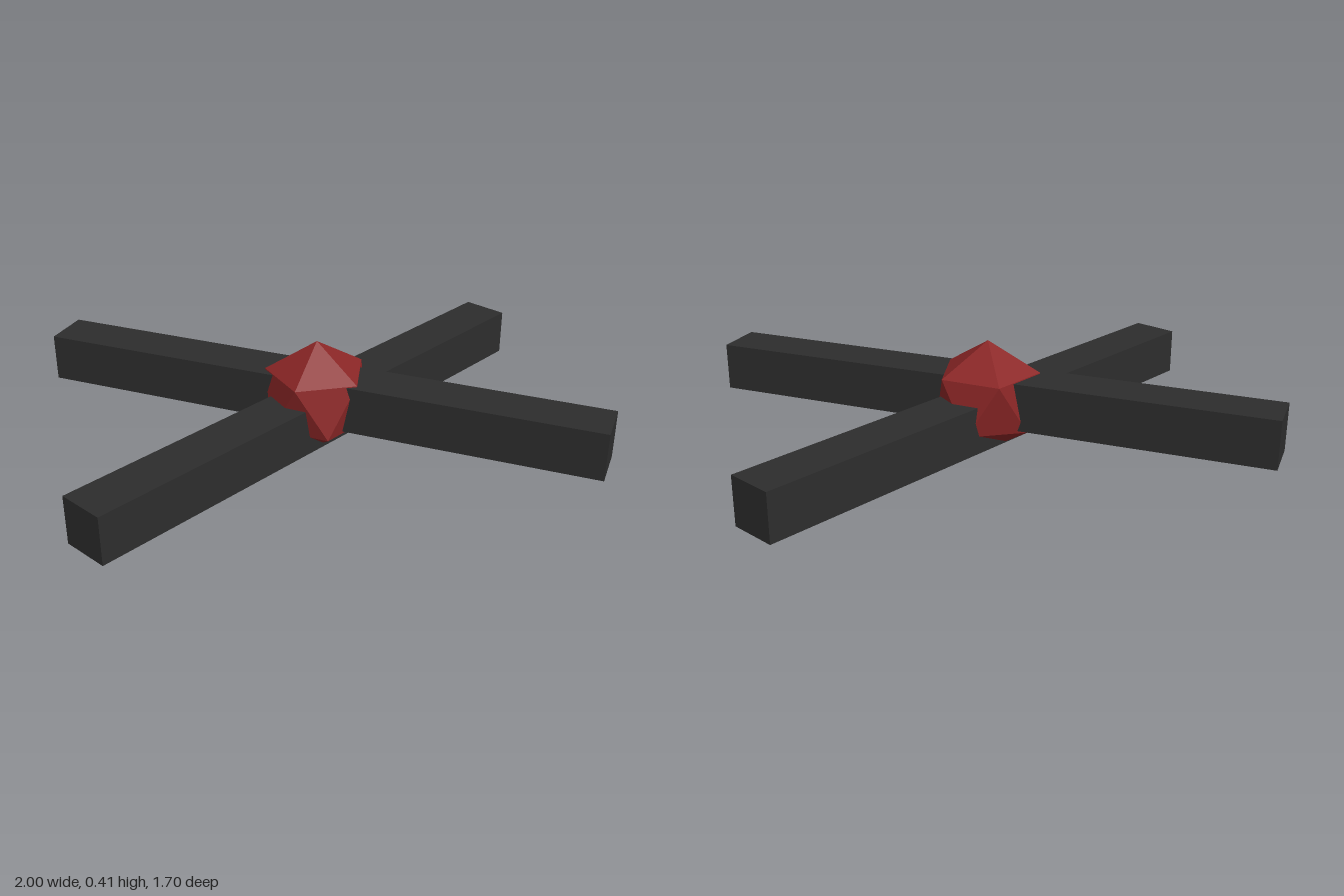
import * as THREE from 'three';

export function createModel() {
  const group = new THREE.Group();

  const charcoal = new THREE.MeshStandardMaterial({ color: 0x2d2d2d });
  charcoal.name = 'charcoal';
  const darkRed = new THREE.MeshStandardMaterial({ color: 0x8b2626, flatShading: true });
  darkRed.name = 'darkRed';

  // Two square beams crossing at the centre, one slightly above the other
  const barGeometry = new THREE.BoxGeometry(2.038, 0.17, 0.17);
  const addBar = (name, y, degrees) => {
    const bar = new THREE.Mesh(barGeometry, charcoal);
    bar.name = name;
    bar.position.y = y;
    bar.rotation.y = THREE.MathUtils.degToRad(degrees);
    group.add(bar);
  };
  addBar('lowerBar', 0.134, 17.2);
  addBar('upperBar', 0.207, -51.5);

  // Faceted core standing on one of its points
  const radius = 0.204;
  const core = new THREE.Mesh(new THREE.IcosahedronGeometry(radius, 0), darkRed);
  core.name = 'core';
  core.position.y = radius;
  core.rotation.z = -Math.atan(2 / (1 + Math.sqrt(5)));
  group.add(core);

  return group;
}
